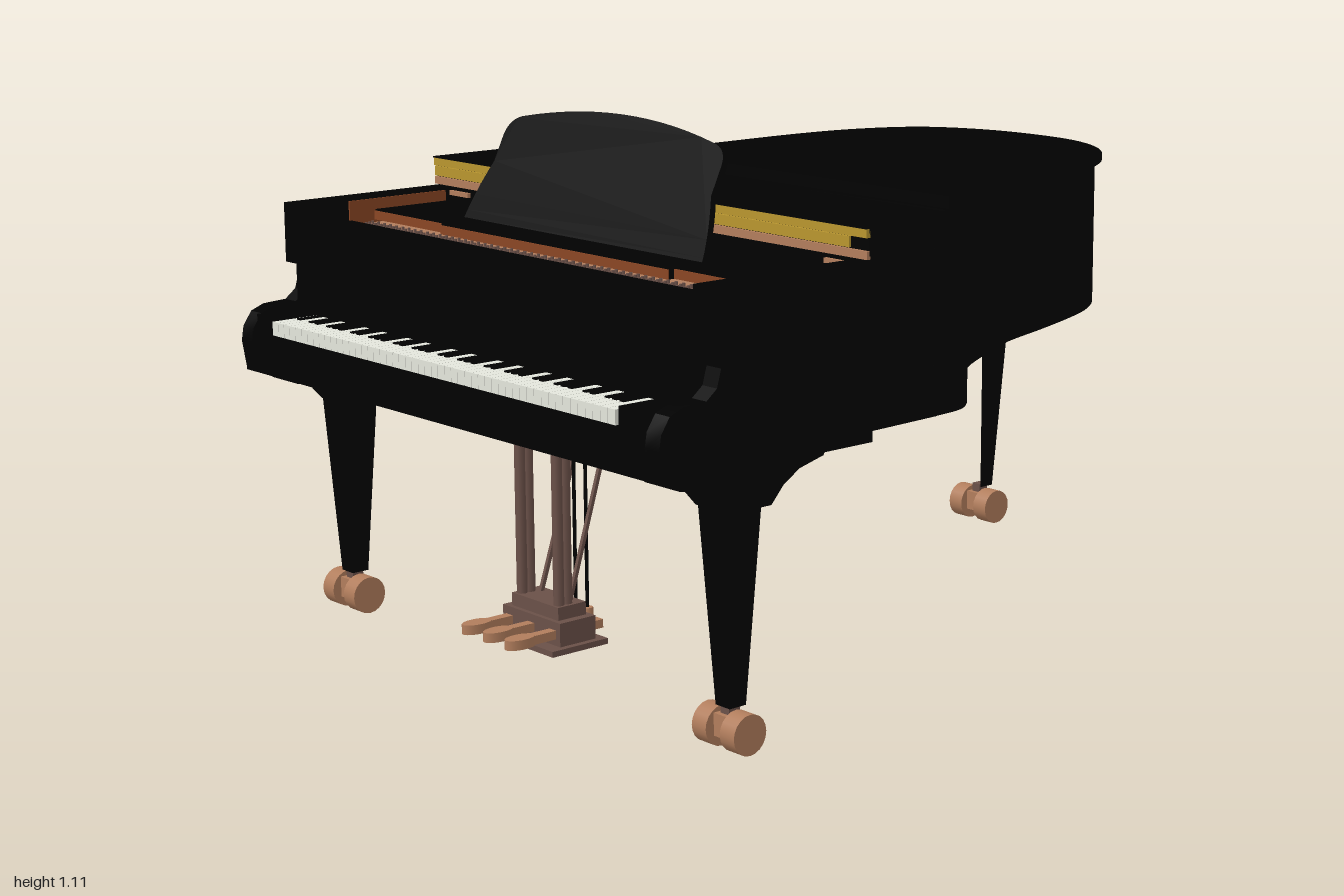
import * as THREE from 'three';
import { mergeGeometries, toCreasedNormals } from 'three/addons/utils/BufferGeometryUtils.js';

const mat = (name, color) => {
  const m = new THREE.MeshStandardMaterial({ color });
  m.name = name;
  return m;
};

export function createModel() {
  const black = mat('black lacquer', 0x010101);
  const copper = mat('copper', 0xb17d5c);
  const bronze = mat('dark bronze', 0x6a5048);
  const gold = mat('gold hinge', 0xb8952f);
  const ivory = mat('ivory', 0xe4e6dc);
  const wood = mat('soundboard wood', 0x8a4624);
  const beamWood = mat('beam wood', 0x7c5a45);

  const piano = new THREE.Group();
  piano.name = 'grandPiano';
  const add = (name, geo, m) => {
    const mesh = new THREE.Mesh(geo, m);
    mesh.name = name;
    piano.add(mesh);
    return mesh;
  };
  // Box given by its limits on each axis
  const boxGeo = (x0, x1, y0, y1, z0, z1) =>
    new THREE.BoxGeometry(x1 - x0, y1 - y0, z1 - z0).translate((x0 + x1) / 2, (y0 + y1) / 2, (z0 + z1) / 2);
  const box = (name, m, ...lim) => add(name, boxGeo(...lim), m);
  // Horizontal slab from an [x, z] outline
  const slab = (name, m, pts, y0, y1) => {
    const s = new THREE.Shape(pts.map(([x, z]) => new THREE.Vector2(x, -z)));
    const g = new THREE.ExtrudeGeometry(s, { depth: y1 - y0, bevelEnabled: false });
    return add(name, toCreasedNormals(g.rotateX(-Math.PI / 2).translate(0, y0, 0), 0.4), m);
  };
  // Upright extrusion from a [z, y] profile between two x values
  const sideProfile = (name, m, pts, x0, x1) => {
    const s = new THREE.Shape(pts.map(([z, y]) => new THREE.Vector2(z, y)));
    const g = new THREE.ExtrudeGeometry(s, { depth: x1 - x0, bevelEnabled: false });
    return add(name, toCreasedNormals(g.rotateY(-Math.PI / 2).translate(x1, 0, 0), 0.5), m);
  };
  // Bar between two points
  const bar = (name, m, a, b, w, h) => {
    const p = new THREE.Vector3(...a), q = new THREE.Vector3(...b);
    const mesh = add(name, new THREE.BoxGeometry(w, h, p.distanceTo(q)), m);
    mesh.position.copy(p).lerp(q, 0.5);
    mesh.lookAt(q);
  };
  const cyl = (name, m, r, h, x, y, z, n = 10) =>
    add(name, new THREE.CylinderGeometry(r, r, h, n).translate(x, y, z), m);

  // Curved body outline, from front left around the tail to front right
  const bent = new THREE.CatmullRomCurve3([
    [0.694, 0.32], [0.682, 0.23], [0.645, 0.175], [0.48, 0.02], [0.41, -0.07], [0.34, -0.2], [0.28, -0.33],
    [0.235, -0.48], [0.19, -0.62], [0.14, -0.745], [0.07, -0.85], [-0.02, -0.93], [-0.12, -0.98], [-0.22, -1],
    [-0.38, -0.995], [-0.5, -0.96], [-0.58, -0.91], [-0.63, -0.84], [-0.67, -0.73], [-0.69, -0.58],
    [-0.69, -0.2], [-0.69, 0.32],
  ].map(([x, z]) => new THREE.Vector3(x, 0, z)), false, 'centripetal').getPoints(84).map((p) => [p.x, p.z]);
  // The body is set in from the lid, more so at the tail
  const inset = (d) => bent.map(([x, z], i) => {
    const a = bent[Math.max(i - 1, 0)], b = bent[Math.min(i + 1, bent.length - 1)];
    const dx = b[0] - a[0], dz = b[1] - a[1], l = Math.hypot(dx, dz);
    return [x + (dz / l) * d, (z - (dx / l) * d) * (z < 0 ? 0.978 : 1)];
  });
  const band = (d0, d1) => [...inset(d0), ...inset(d1).reverse()];

  // Rim, lid, soundboard
  slab('rim', black, band(0.004, 0.04), 0.58, 0.912);
  slab('innerRim', wood, band(0.04, 0.075), 0.59, 0.69);
  slab('lid', black, [...bent, [-0.69, 0.49], [0.69, 0.49]], 0.911, 0.925);
  slab('soundboard', wood, [...inset(0.035), [-0.64, 0.6], [0.64, 0.6]], 0.7, 0.715);

  // Braces fanning out under the soundboard, and thin ribs across them
  for (const [x, z] of [[0.5, 0.14], [0.32, -0.15], [0.01, -0.84], [-0.55, -0.72], [-0.62, 0.18]])
    bar('brace', beamWood, [-0.1, 0.635, 0.42], [x, 0.635, z], 0.045, 0.06);
  for (const [x0, z0, x1, z1] of [[-0.62, 0.2, -0.4, 0.44], [-0.62, -0.05, -0.12, 0.44], [-0.62, -0.3, 0.1, 0.4],
    [-0.62, -0.53, 0.36, 0.42], [-0.58, -0.74, 0.5, 0.28], [-0.45, -0.86, 0.34, -0.08], [-0.27, -0.9, 0.19, -0.42]])
    bar('rib', bronze, [x0, 0.69, z0], [x1, 0.69, z1], 0.018, 0.022);

  // Folded front lid with hinge strips and a raised bar
  box('lidFlap', black, -0.69, 0.69, 0.922, 0.965, 0.19, 0.49);
  box('lidFlapTop', black, -0.69, 0.69, 0.963, 0.966, 0.19, 0.5);
  box('lidBar', black, -0.65, 0.65, 0.965, 0.995, 0.205, 0.24);
  box('lidBarFoot', black, -0.65, 0.65, 0.957, 0.97, 0.18, 0.25);
  box('hingeUpper', gold, -0.69, 0.69, 0.946, 0.963, 0.488, 0.498);
  box('hingeLower', gold, -0.69, 0.64, 0.923, 0.944, 0.488, 0.496);
  box('lidEdge', copper, -0.69, 0.69, 0.905, 0.921, 0.488, 0.497);

  // Side arms with scrolled front, cheek blocks
  const arm = [[0.31, 0.58], [0.62, 0.575], [0.63, 0.56], [0.99, 0.56], [1, 0.62], [0.995, 0.65], [0.975, 0.68],
    [0.945, 0.692], [0.89, 0.695], [0.865, 0.715], [0.855, 0.75], [0.86, 0.77], [0.885, 0.775], [0.885, 0.902],
    [0.488, 0.902], [0.488, 0.911], [0.31, 0.911]];
  const corbel = [[0.58, 0.56], [0.59, 0.545], [0.65, 0.53], [0.69, 0.505], [0.72, 0.472], [0.82, 0.472],
    [0.85, 0.505], [0.89, 0.525], [0.94, 0.535], [0.94, 0.56]];
  for (const s of [-1, 1]) {
    const span = (a, b) => (s > 0 ? [a, b] : [-b, -a]);
    sideProfile('arm', black, arm, ...span(0.65, 0.69));
    box('cheekBlock', black, ...span(s > 0 ? 0.558 : 0.581, 0.65), 0.6, 0.68, 0.87, 0.985);
    box('armLining', wood, ...span(0.646, 0.651), 0.84, 0.895, 0.5, 0.75);
    box('lowerLining', wood, ...span(0.615, 0.65), 0.59, 0.69, 0.3, 0.59);
    box('liningLedge', copper, ...span(0.57, 0.638), 0.885, 0.895, 0.488, 0.496);
    sideProfile('frontCorbel', black, corbel, ...span(0.575, 0.672));
  }

  // Key bed, name board, music shelf
  slab('keyBed', black, [[-0.69, 0.99], [0.69, 0.99], [0.69, 0.48], [0.44, 0.48], [0.32, 0.37],
    [-0.3, 0.37], [-0.5, 0.58], [-0.64, 0.5], [-0.69, 0.5]], 0.556, 0.642);
  box('keySlip', black, -0.65, 0.65, 0.575, 0.645, 0.985, 0.998);
  box('bellyRail', black, -0.65, 0.65, 0.6, 0.84, 0.59, 0.61);
  box('lidPanel', black, -0.65, 0.65, 0.84, 0.911, 0.46, 0.488);
  box('nameBoard', black, -0.65, 0.65, 0.6, 0.853, 0.745, 0.885);
  box('nameBoardLip', black, -0.65, 0.65, 0.832, 0.84, 0.87, 0.89);
  box('musicShelf', black, -0.65, 0.65, 0.85, 0.872, 0.48, 0.685);
  box('shelfLip', black, -0.38, 0.36, 0.85, 0.872, 0.685, 0.7);
  box('shelfEdge', wood, -0.645, 0.645, 0.85, 0.869, 0.684, 0.688);
  box('shelfLipEdge', wood, -0.38, 0.36, 0.85, 0.869, 0.699, 0.703);

  // Tuning plate with pins
  box('tuningPlate', copper, -0.65, 0.65, 0.825, 0.844, 0.6, 0.747);
  const pins = [];
  for (let i = 0; i < 56; i++) for (let r = 0; r < 3; r++)
    pins.push(new THREE.CylinderGeometry(0.0035, 0.0035, 0.016, 6)
      .translate(-0.62 + i * 0.0225 + r * 0.005, 0.844, 0.71 + r * 0.012));
  add('tuningPins', mergeGeometries(pins), bronze);

  // Keys: 52 white, 36 black in the usual pattern
  const whites = [], blacks = [], x0 = -0.58, step = 1.138 / 52;
  for (let i = 0; i < 52; i++) {
    const x = x0 + i * step;
    whites.push(boxGeo(x + 0.0005, x + step - 0.0005, 0.64, 0.674, 0.88, 0.992));
    if (i < 51 && ![1, 4].includes(i % 7))
      blacks.push(boxGeo(x + step - 0.006, x + step + 0.006, 0.66, 0.677, 0.88, 0.942));
  }
  add('whiteKeys', mergeGeometries(whites), ivory);
  add('blackKeys', mergeGeometries(blacks), black);

  // Leaning music desk with arched top
  const d = new THREE.Shape();
  d.moveTo(-0.39, 0);
  d.lineTo(0.38, 0);
  d.quadraticCurveTo(0.372, 0.06, 0.342, 0.13);
  d.lineTo(0.342, 0.19);
  d.quadraticCurveTo(0.342, 0.226, 0.3, 0.235);
  d.quadraticCurveTo(0, 0.299, -0.31, 0.235);
  d.quadraticCurveTo(-0.352, 0.226, -0.356, 0.19);
  d.lineTo(-0.356, 0.13);
  d.quadraticCurveTo(-0.383, 0.06, -0.39, 0);
  const desk = add('musicDesk', toCreasedNormals(
    new THREE.ExtrudeGeometry(d, { depth: 0.014, bevelEnabled: false, curveSegments: 14 }), 0.5), black);
  desk.position.set(0, 0.872, 0.622);
  desk.rotation.x = -0.445;
  for (const x of [-0.2, 0.2]) bar('deskProp', black, [x, 0.87, 0.53], [x, 1.03, 0.55], 0.006, 0.006);

  // Tapered legs and twin-wheel casters; the rear leg is open at its front
  const leg = (name, x, z, w, open) => {
    const g = new THREE.CylinderGeometry(w / 2 * Math.SQRT2, 0.02 * Math.SQRT2, 0.47, open ? 3 : 4, 1, open,
      Math.PI / 4, open ? Math.PI * 1.5 : Math.PI * 2).toNonIndexed();
    g.computeVertexNormals();
    add(name, g.translate(x, 0.325, z), black);
    for (const s of [-1, 1]) {
      const wheel = cyl('casterWheel', copper, 0.04, 0.04, 0, 0, 0, 20);
      wheel.rotation.z = Math.PI / 2;
      wheel.position.set(x + s * 0.04, 0.046, z + 0.005);
    }
    box('casterFork', copper, x - 0.02, x + 0.02, 0.03, 0.075, z - 0.018, z + 0.025);
    box('casterStem', bronze, x - 0.012, x + 0.012, 0.07, 0.095, z - 0.012, z + 0.015);
  };
  leg('frontLegRight', -0.624, 0.78, 0.092);
  leg('frontLegLeft', 0.624, 0.78, 0.092);
  leg('rearLeg', -0.233, -0.77, 0.095, true);

  // Rear leg support
  const rear = sideProfile('rearCorbel', black, corbel.map(([z, y]) => [(z - 0.77) * 0.86, y]), -0.055, 0.055);
  rear.rotation.y = Math.PI / 2;
  rear.position.set(-0.235, 0, -0.777);
  slab('rearBlock', black, [[-0.39, -0.59], [-0.39, -0.95], [-0.15, -0.95], [-0.06, -0.88], [-0.06, -0.59]], 0.558, 0.6);

  // Pedal lyre
  box('lyrePlate', black, -0.13, 0.13, 0.528, 0.558, 0.58, 0.82);
  box('lyreFoot', bronze, -0.112, 0.106, 0.064, 0.076, 0.66, 0.8);
  box('lyreBox', bronze, -0.098, 0.092, 0.076, 0.125, 0.68, 0.77);
  box('lyreCap', bronze, -0.08, 0.074, 0.125, 0.152, 0.69, 0.76);
  for (const x of [-0.065, 0.057]) for (const z of [0.725, 0.745]) cyl('lyrePost', bronze, 0.011, 0.38, x, 0.34, z);
  for (const x of [-0.05, 0.045]) bar('lyreBrace', bronze, [x, 0.13, 0.715], [x * 0.9, 0.535, 0.585], 0.008, 0.008);
  for (const x of [-0.042, -0.004, 0.034]) {
    cyl('pedalRod', black, 0.004, 0.4, x, 0.32, 0.655, 6);
    cyl('rodCollarTop', copper, 0.012, 0.035, x, 0.51, 0.655);
    cyl('rodCollarBottom', copper, 0.012, 0.03, x, 0.11, 0.655);
  }
  for (const x of [-0.076, -0.004, 0.068]) {
    box('pedalArm', copper, x - 0.011, x + 0.011, 0.09, 0.108, 0.65, 0.85);
    const tip = cyl('pedalTip', copper, 0.02, 0.02, 0, 0, 0, 14);
    tip.scale.z = 1.75;
    tip.position.set(x, 0.099, 0.852);
  }
  return piano;
}
